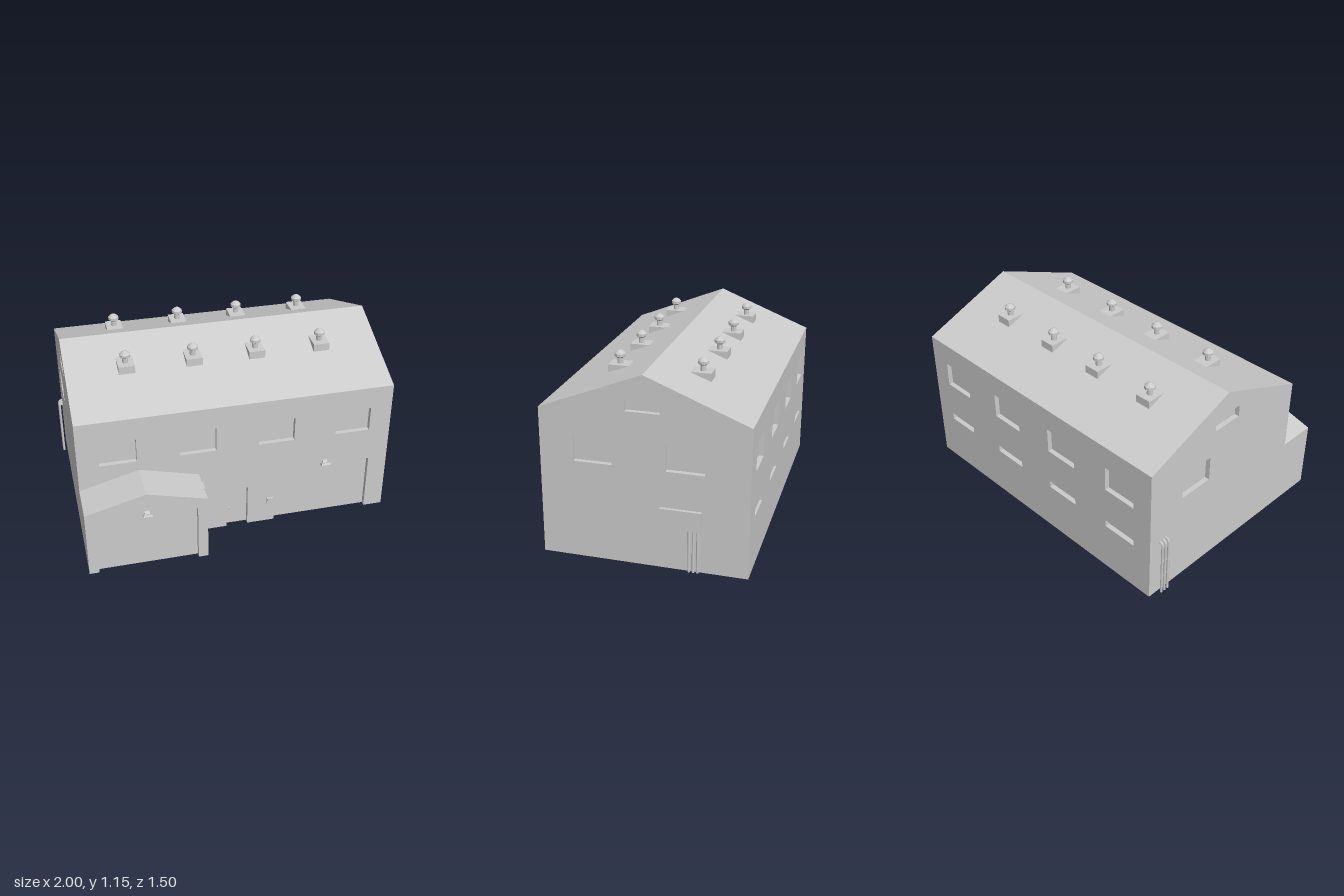
import * as THREE from 'three';

const X0 = -0.97, X1 = 0.98, ZB = -0.75, ZF = 0.465;   // main block footprint
const EAVE = 0.905, RIDGE = 1.147, ZR = -0.1425;       // roof heights and ridge line
const D = 0.03;                                        // depth of window and door recesses

const grey = new THREE.MeshStandardMaterial({ color: 0xcccccc, side: THREE.DoubleSide });
const flat = new THREE.MeshStandardMaterial({ color: 0xcccccc, flatShading: true });

function add(parent, name, geometry, x = 0, y = 0, z = 0, material = grey) {
  const mesh = new THREE.Mesh(geometry, material);
  mesh.name = name;
  mesh.position.set(x, y, z);
  parent.add(mesh);
  return mesh;
}

const box = (w, h, d) => new THREE.BoxGeometry(w, h, d);
const extrude = (shape, depth) => new THREE.ExtrudeGeometry(shape, { depth, bevelEnabled: false });
const polygon = (pts) => new THREE.Shape(pts.map(([u, v]) => new THREE.Vector2(u, v)));

// Wall panel from u0 to u1: top is its upper outline (right to left),
// windows are [u0, u1, v0, v1] holes, doors are [u0, u1, height] notches.
function wallGeometry(u0, u1, top, windows, doors = []) {
  const base = [[u0, 0]];
  for (const [a, b, h] of doors) base.push([a, 0], [a, h], [b, h], [b, 0]);
  const shape = polygon([...base, [u1, 0], ...top]);
  for (const [a, b, c, d] of windows) {
    const hole = new THREE.Path();
    hole.moveTo(a, c).lineTo(a, d).lineTo(b, d).lineTo(b, c).closePath();
    shape.holes.push(hole);
  }
  return extrude(shape, D);
}

// Three pipes side by side, rising from the ground and bending into a side wall
function pipes(parent, name, wallX, dir, zs, height, bend = true) {
  const x = wallX + dir * 0.022;
  for (const z of zs) {
    const path = new THREE.CurvePath();
    if (bend) {
      const p = (px, py) => new THREE.Vector3(px, py, z);
      path.add(new THREE.LineCurve3(p(x, 0), p(x, height - 0.02)));
      path.add(new THREE.QuadraticBezierCurve3(p(x, height - 0.02), p(x, height), p(wallX - dir * 0.005, height)));
      add(parent, name, new THREE.TubeGeometry(path, 40, 0.008, 8));
    } else {
      add(parent, name, new THREE.CylinderGeometry(0.008, 0.008, height, 8), wallX + dir * 0.009, height / 2, z);
    }
  }
}

// Tilted floodlight over a garage door
function lamp(parent, x, y, z) {
  const g = new THREE.Group();
  g.name = 'doorLamp';
  g.position.set(x, y, z);
  add(g, 'lampArm', box(0.03, 0.012, 0.03), 0, 0.008, 0.008).rotation.x = 0.35;
  add(g, 'lampHead', box(0.055, 0.014, 0.032), 0, 0.0, 0.024).rotation.x = -0.5;
  parent.add(g);
}

export function createModel() {
  const house = new THREE.Group();
  house.name = 'building';

  // Main block: inset core with the full-width roof on top
  const uF = -ZF, uB = -ZB, uR = -ZR;
  const core = polygon([[uF + D, 0], [uB - D, 0], [uB - D, EAVE], [uB, EAVE], [uR, RIDGE], [uF, EAVE], [uF + D, EAVE]]);
  add(house, 'coreAndRoof', extrude(core, X1 - X0 - 2 * D), X0 + D).rotation.y = Math.PI / 2;

  // Front and back walls with four upper windows each
  const columns = [[-0.84, -0.615], [-0.355, -0.13], [0.135, 0.36], [0.625, 0.845]];
  const upper = columns.map(([a, b]) => [a, b, 0.6, 0.76]);
  const slits = columns.map(([a, b]) => [a, b, 0.32, 0.365]);
  const a = X0 + D, b = X1 - D;
  add(house, 'frontWall', wallGeometry(a, b, [[b, EAVE], [a, EAVE]], upper,
    [[-0.065, 0.07, 0.285], [0.245, 0.86, 0.38]]), 0, 0, ZF - D);
  const backWindows = [...upper, ...slits].map(([l, r, c, d]) => [-r, -l, c, d]);
  add(house, 'backWall', wallGeometry(-b, -a, [[-a, EAVE], [-b, EAVE]], backWindows), 0, 0, ZB + D).rotation.y = Math.PI;

  // Gable walls
  add(house, 'rightGable', wallGeometry(uF, uB, [[uB, EAVE], [uR, RIDGE], [uF, EAVE]],
    [[0.04, 0.24, 0.93, 1.005], [-0.265, -0.04, 0.6, 0.76], [0.27, 0.495, 0.6, 0.76]]), X1 - D).rotation.y = Math.PI / 2;
  add(house, 'leftGable', wallGeometry(ZB, ZF, [[ZF, EAVE], [ZR, RIDGE], [ZB, EAVE]],
    [[-0.24, -0.04, 0.93, 1.005], [-0.495, -0.27, 0.6, 0.76]]), X0 + D).rotation.y = -Math.PI / 2;

  // Garage annex
  const A1 = -0.24, AE = 0.44, AR = 0.537, AZ = 0.71;
  const annexTop = [[A1, AE], [(X0 + A1) / 2, AR], [X0, AE]];
  add(house, 'annexCore', extrude(polygon([[X0, 0], [A1, 0], ...annexTop]), AZ - D - ZF + 0.02), 0, 0, ZF - 0.02);
  add(house, 'annexFront', wallGeometry(X0, A1, annexTop, [], [[-0.91, -0.3, 0.38]]), 0, 0, AZ - D);

  // Roof vents: sloping-roof base box with a capped stack
  const stack = [[0.018, 0], [0.018, 0.032], [0.033, 0.042], [0.033, 0.058], [0.018, 0.072], [0, 0.08]]
    .map(([r, y]) => new THREE.Vector2(r, y));
  for (const x of [-0.605, -0.193, 0.198, 0.61]) {
    for (const s of [1, -1]) {
      const z = ZR + s * 0.245;
      add(house, 'ventBase', box(0.1, 0.06, 0.13), x, 1.045, z - s * 0.007);
      add(house, 'ventStack', new THREE.LatheGeometry(stack, 10), x, 1.075, z, flat);
    }
  }

  // Wall fittings
  lamp(house, -0.605, 0.4, AZ);
  lamp(house, 0.565, 0.4, ZF);
  add(house, 'doorKnob', new THREE.SphereGeometry(0.007, 10, 8), -0.045, 0.125, ZF - D + 0.006);
  add(house, 'meterBox', box(0.04, 0.045, 0.02), 0.215, 0.16, ZF + 0.006);
  add(house, 'utilityCabinet', box(0.025, 0.12, 0.24), X1 + 0.0075, 0.32, -0.36);
  pipes(house, 'cabinetPipe', X1, 1, [-0.41, -0.435, -0.46], 0.27, false);
  pipes(house, 'leftPipe', X0, -1, [-0.67, -0.645, -0.62], 0.385);
  pipes(house, 'annexPipe', A1, 1, [0.49, 0.515, 0.54], 0.395);

  return house;
}
